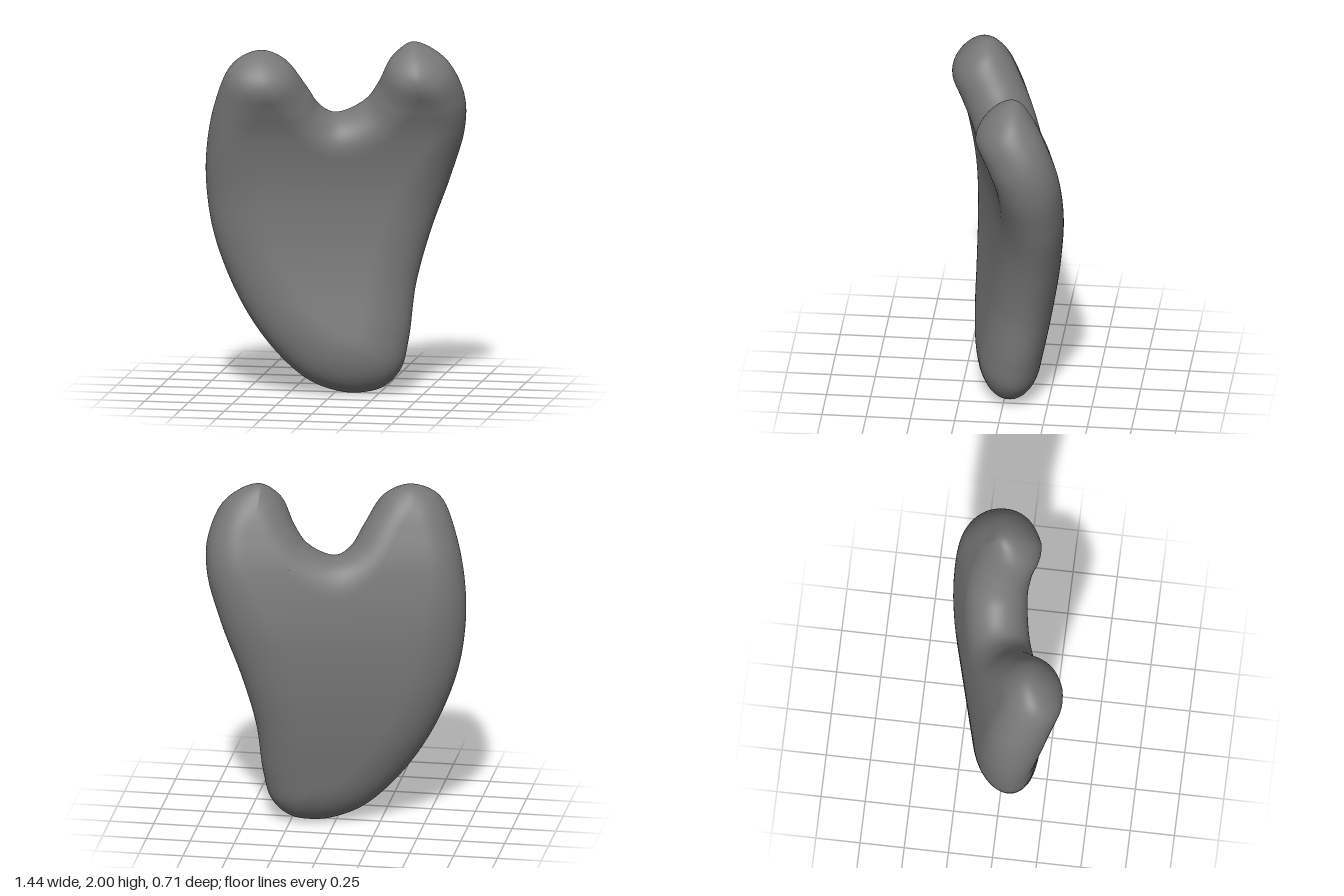
import * as THREE from 'three';
import { mergeVertices } from 'three/addons/utils/BufferGeometryUtils.js';

// Outline of the slab, counter-clockwise from the bottom
const OUTLINE = [
  [0.13, 0.003], [0.27, 0.035], [0.36, 0.13], [0.4, 0.3], [0.43, 0.6], [0.505, 0.9], [0.62, 1.23],
  [0.7, 1.5], [0.708, 1.7], [0.63, 1.885], [0.45, 1.98], [0.33, 1.905], [0.24, 1.745],
  [0.16, 1.645], [0, 1.58], [-0.08, 1.63], [-0.14, 1.735], [-0.24, 1.89], [-0.38, 1.945],
  [-0.54, 1.875], [-0.66, 1.63], [-0.714, 1.35], [-0.71, 1.1], [-0.66, 0.85], [-0.52, 0.52],
  [-0.34, 0.26], [-0.15, 0.085], [0, 0.02],
];

// Y-shaped spine: [outline index, x, y], travelled there and back round the outline
const FOOT = [0.12, 0.25], FORK = [-0.02, 1.15], TIP_L = [0.45, 1.75], TIP_R = [-0.38, 1.72];
const SPINE = [[0, FOOT], [5, FORK], [10, TIP_L], [14, FORK], [18, TIP_R], [23, FORK], [28, FOOT]];

const smooth = (pairs) => new THREE.SplineCurve(pairs.map((p) => new THREE.Vector2(...p))).getPoints(200);

// Forward bend of the slab, and how far its thickness leans, by height
const BEND = smooth([
  [-0.1, 0.07], [0, 0.05], [0.3, 0.003], [0.6, -0.048], [0.9, -0.078], [1.2, -0.077],
  [1.5, -0.028], [1.7, 0.042], [1.85, 0.11], [1.95, 0.118], [2.05, 0.09],
]);
const LEAN = smooth([[-0.1, -0.2], [0.3, -0.17], [0.9, -0.05], [1.2, 0.06], [1.5, 0.25], [1.75, 0.5], [2.05, 0.6]]);

const YAW = -0.27, HALF = 0.178;
const PER = 10, RINGS = 26;

// Value of a smoothed table at height y
function sample(table, y) {
  let i = 1;
  while (i < table.length - 1 && table[i].x < y) i++;
  const a = table[i - 1], b = table[i];
  return a.y + (b.y - a.y) * (y - a.x) / (b.x - a.x);
}

function spinePoint(t) {
  let i = 1;
  while (i < SPINE.length - 1 && SPINE[i][0] < t) i++;
  const [t0, p] = SPINE[i - 1], [t1, q] = SPINE[i];
  const f = (t - t0) / (t1 - t0);
  return new THREE.Vector2(p[0] + (q[0] - p[0]) * f, p[1] + (q[1] - p[1]) * f);
}

// Shortest distance from (x, y) to the outline
function edgeDistance(x, y, rim) {
  let best = Infinity;
  for (let i = 0; i < rim.length; i++) {
    const a = rim[i], b = rim[(i + 1) % rim.length];
    const dx = b.x - a.x, dy = b.y - a.y;
    const f = THREE.MathUtils.clamp(((x - a.x) * dx + (y - a.y) * dy) / (dx * dx + dy * dy), 0, 1);
    best = Math.min(best, Math.hypot(a.x + dx * f - x, a.y + dy * f - y));
  }
  return best;
}

function slabGeometry() {
  const n = OUTLINE.length * PER;
  const curve = new THREE.CatmullRomCurve3(
    OUTLINE.map(([x, y]) => new THREE.Vector3(x, y, 0)), true, 'centripetal');
  const rim = Array.from({ length: n }, (_, i) => curve.getPoint(i / n));
  const position = [], index = [];

  // Rings run from the back of the spine, over the rim, to the front of the spine
  for (let k = -RINGS; k <= RINGS; k++) {
    const s = (k / RINGS) ** 2;
    for (let i = 0; i < n; i++) {
      const c = spinePoint(i / PER);
      const x = rim[i].x + (c.x - rim[i].x) * s;
      const y = rim[i].y + (c.y - rim[i].y) * s;
      // Wide soft edge on the body, blunter on the lobes
      const edge = 0.28 - 0.1 * THREE.MathUtils.smoothstep(y, 1.0, 1.6);
      const d = k === 0 ? 0 : Math.min(edgeDistance(x, y, rim) / edge, 1);
      const h = Math.sign(k) * HALF * Math.sqrt(1 - (1 - d) ** 2);
      const normal = new THREE.Vector3(-YAW, -sample(LEAN, y), 1).normalize();
      position.push(x + normal.x * h, y + normal.y * h, YAW * x + sample(BEND, y) + normal.z * h);
    }
  }
  for (let k = 0; k < 2 * RINGS; k++) {
    for (let i = 0; i < n; i++) {
      const j = (i + 1) % n;
      const a = k * n + i, b = k * n + j, c = b + n, d = a + n;
      index.push(a, b, c, a, c, d);
    }
  }

  // Join the two sides along the spine, then smooth
  const sheet = new THREE.BufferGeometry();
  sheet.setAttribute('position', new THREE.Float32BufferAttribute(position, 3));
  sheet.setIndex(index);
  const g = mergeVertices(sheet, 1e-4);
  g.computeVertexNormals();
  return g;
}

export function createModel() {
  const group = new THREE.Group();
  group.name = 'notchedSlab';
  const body = new THREE.Mesh(slabGeometry(), new THREE.MeshStandardMaterial({ color: 0x777777 }));
  body.name = 'twoLobedBody';
  group.add(body);
  return group;
}
